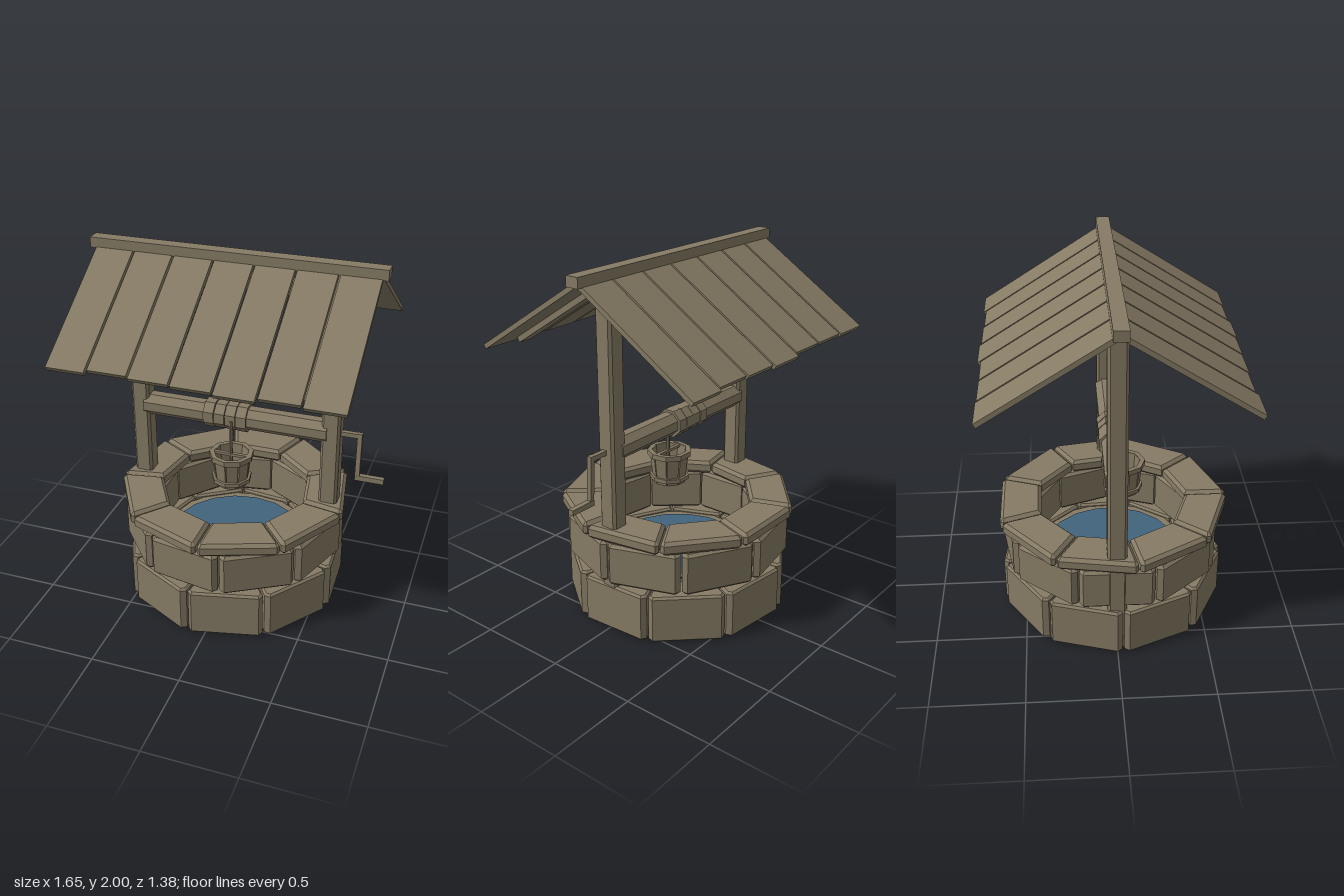
import * as THREE from 'three';

const wood = new THREE.MeshStandardMaterial({ color: 0x857a64, flatShading: true });
wood.name = 'weathered brown';
const blue = new THREE.MeshStandardMaterial({ color: 0x41647e, flatShading: true });
blue.name = 'water blue';

const CX = -0.027; // centre line of the well
const DEG = Math.PI / 180;

function add(parent, name, geometry, x = 0, y = 0, z = 0, material = wood) {
  const mesh = new THREE.Mesh(geometry, material);
  mesh.name = name;
  mesh.position.set(x, y, z);
  parent.add(mesh);
  return mesh;
}

function group(parent, name, x = 0, y = 0, z = 0) {
  const g = new THREE.Group();
  g.name = name;
  g.position.set(x, y, z);
  parent.add(g);
  return g;
}

// Prism standing on y = 0 from a plan outline, with bevelled top and bottom edges
function prism(points, height, bevel) {
  const shape = new THREE.Shape(points.map(([x, z]) => new THREE.Vector2(x, -z)));
  const geometry = new THREE.ExtrudeGeometry(shape, {
    depth: height - 2 * bevel, bevelEnabled: bevel > 0, bevelThickness: bevel,
    bevelSize: bevel, bevelOffset: -bevel, bevelSegments: 1,
  });
  return geometry.rotateX(-Math.PI / 2).translate(0, bevel, 0);
}

// Ring of nine wedge stones; start is the angle of one joint measured from +z
function stoneRing(parent, name, { y, height, outer, inner, start, bevel, chamfer }) {
  const ring = group(parent, name, CX, y, 0);
  const s = Math.sin(20 * DEG), c = Math.cos(20 * DEG), gap = 0.005;
  const w = outer * s - gap, v = outer * c, wi = inner * s - gap, vi = inner * c;
  const k = chamfer;
  const stone = prism([
    [-wi, vi], [wi, vi], [w - k * 0.36, v - k], [w - k, v], [k - w, v], [k * 0.36 - w, v - k],
  ], height, bevel);
  for (let i = 0; i < 9; i++) {
    add(ring, 'stone', stone).rotation.y = (start + 20 + 40 * i) * DEG;
  }
}

// Rectangular hoop with nine sides
function hoop(ri, ro, y0, y1) {
  const p = [[ri, y0], [ro, y0], [ro, y1], [ri, y1], [ri, y0]];
  return new THREE.LatheGeometry(p.map(([x, y]) => new THREE.Vector2(x, y)), 9);
}

function buildWall(model) {
  const wall = group(model, 'well wall');
  stoneRing(wall, 'lower stones',
    { y: 0, height: 0.275, outer: 0.645, inner: 0.45, start: -7, bevel: 0.012, chamfer: 0.03 });
  stoneRing(wall, 'upper stones',
    { y: 0.295, height: 0.24, outer: 0.64, inner: 0.45, start: 10, bevel: 0.016, chamfer: 0.03 });
  stoneRing(wall, 'rim stones',
    { y: 0.543, height: 0.077, outer: 0.667, inner: 0.425, start: 0, bevel: 0.018, chamfer: 0.02 });
  add(wall, 'floor', new THREE.CylinderGeometry(0.44, 0.44, 0.255, 18), CX, 0.13, 0);
  add(wall, 'water', new THREE.CylinderGeometry(0.39, 0.39, 0.008, 18), CX, 0.262, 0, blue);
}

function buildFrame(model) {
  const frame = group(model, 'frame');
  const h = 0.052, k = 0.014;
  const post = prism([
    [-h, k - h], [k - h, -h], [h - k, -h], [h, k - h],
    [h, h - k], [h - k, h], [k - h, h], [-h, h - k],
  ], 1.86, 0);
  for (const x of [-0.58, 0.523]) add(frame, 'post', post, x, 0.02, -0.002);
  add(frame, 'cross beam', new THREE.BoxGeometry(1.1, 0.07, 0.07), CX, 1.845, 0);
}

function buildRoof(model) {
  const roof = group(model, 'roof');
  add(roof, 'ridge beam', new THREE.BoxGeometry(1.595, 0.056, 0.076), -0.0275, 1.972, -0.002);

  // z reach of each plank on the front and back slopes
  const reach = {
    front: [0.68, 0.665, 0.675, 0.68, 0.69, 0.675, 0.685],
    back: [0.68, 0.675, 0.675, 0.695, 0.685, 0.68, 0.695],
  };
  const tilt = 32.5 * DEG;
  for (const side of ['front', 'back']) {
    const slope = group(roof, side + ' slope');
    slope.rotation.y = side === 'front' ? 0 : Math.PI;
    const flip = side === 'front' ? 1 : -1;
    const board = group(slope, 'sloping boards', 0, 1.972, 0); // hinged at the ridge
    board.rotation.x = tilt;
    reach[side].forEach((z, i) => {
      const end = z / Math.cos(tilt);
      add(board, 'plank', new THREE.BoxGeometry(0.208, 0.026, end - 0.02),
        flip * (-0.686 + 0.2203 * i), -0.013, (end + 0.02) / 2);
    });
    for (const x of [-0.58, 0.523]) {
      add(board, 'rafter', new THREE.BoxGeometry(0.08, 0.03, 0.73), flip * x, -0.041, 0.39);
    }
  }
}

function buildWinch(model) {
  const winch = group(model, 'winch', 0, 1.05, 0);
  const roller = (r, length) =>
    new THREE.CylinderGeometry(r, r, length, 8).rotateY(22.5 * DEG).rotateZ(Math.PI / 2);
  add(winch, 'axle', roller(0.067, 1.06), CX);
  [0.081, 0.078, 0.08, 0.082].forEach((r, i) => {
    add(winch, 'rope coil', roller(r, 0.059), -0.165 + 0.063 * i);
  });

  // Crank on the model's left side
  const crank = group(winch, 'crank', 0, 0, 0.003);
  add(crank, 'crank shaft', new THREE.BoxGeometry(0.13, 0.026, 0.026), 0.625, 0, 0);
  add(crank, 'crank arm', new THREE.BoxGeometry(0.026, 0.28, 0.026), 0.677, -0.125, 0.007)
    .rotation.x = -0.05;
  add(crank, 'crank handle', new THREE.BoxGeometry(0.16, 0.03, 0.03), 0.744, -0.25, 0.012);
}

function buildBucket(model) {
  const bucket = group(model, 'bucket', -0.03, 0.66, 0.065);
  add(bucket, 'rope', new THREE.CylinderGeometry(0.01, 0.01, 0.26, 6), 0, 0.26, 0.01);
  add(bucket, 'bucket base', new THREE.CylinderGeometry(0.088, 0.084, 0.02, 9), 0, 0.025, 0);

  // Staves narrow towards the bottom and lean outwards
  const stave = new THREE.BoxGeometry(0.07, 0.19, 0.016);
  const p = stave.attributes.position;
  for (let i = 0; i < p.count; i++) if (p.getY(i) < 0) p.setX(i, p.getX(i) * 0.82);
  stave.rotateX(0.1).translate(0, 0.096, 0.09);
  for (let i = 0; i < 9; i++) {
    add(bucket, 'stave', stave).rotation.y = (20 + 40 * i) * DEG;
  }
  add(bucket, 'top hoop', hoop(0.1, 0.126, 0.163, 0.193));
  add(bucket, 'bottom hoop', hoop(0.085, 0.113, 0.022, 0.045));
  add(bucket, 'carrying bar', new THREE.BoxGeometry(0.2, 0.016, 0.02), 0, 0.182, 0.008);
}

export function createModel() {
  const model = new THREE.Group();
  model.name = 'water well';
  buildWall(model);
  buildFrame(model);
  buildRoof(model);
  buildWinch(model);
  buildBucket(model);
  return model;
}
